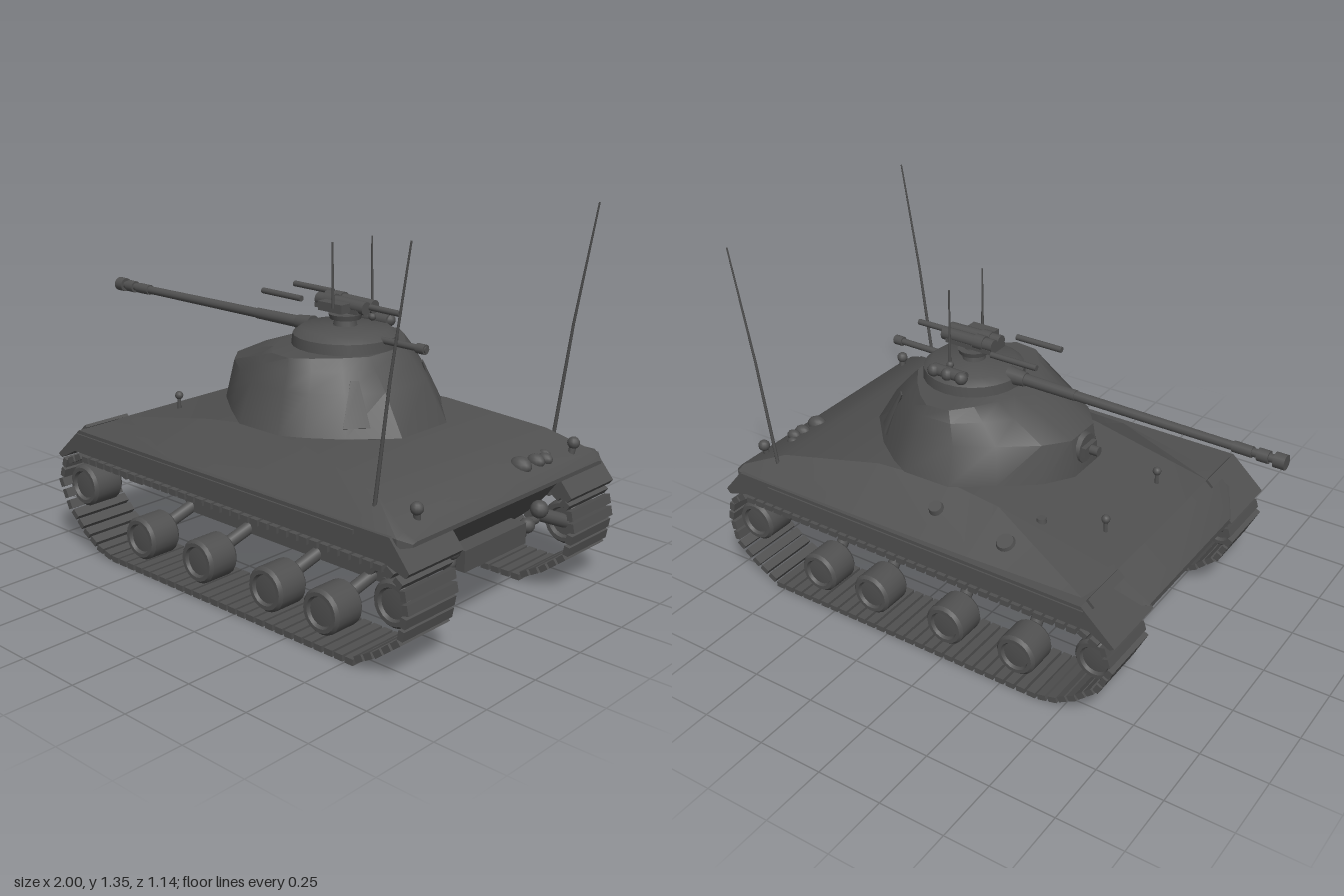
import * as THREE from 'three';
import { mergeGeometries, toCreasedNormals } from 'three/addons/utils/BufferGeometryUtils.js';

const steel = new THREE.MeshStandardMaterial({ color: 0x505050 });
steel.name = 'dark steel';

export function createModel() {
  const model = new THREE.Group();
  model.name = 'tank';

  function add(name, geometry, x = 0, y = 0, z = 0) {
    const mesh = new THREE.Mesh(geometry, steel);
    mesh.name = name;
    mesh.position.set(x, y, z);
    model.add(mesh);
    return mesh;
  }
  const box = (name, x, y, z, w, h, d) => add(name, new THREE.BoxGeometry(w, h, d), x, y, z);
  const ball = (name, x, y, z, r) => add(name, new THREE.SphereGeometry(r, 12, 8), x, y, z);

  // cylinder between two points
  function rod(name, a, b, r1, r2 = r1, sides = 12) {
    const p = new THREE.Vector3(...a), q = new THREE.Vector3(...b);
    const dir = q.clone().sub(p);
    const mesh = add(name, new THREE.CylinderGeometry(r2, r1, dir.length(), sides));
    mesh.position.copy(p).add(q).multiplyScalar(0.5);
    mesh.quaternion.setFromUnitVectors(new THREE.Vector3(0, 1, 0), dir.normalize());
    return mesh;
  }

  // closed solid through rings of equal point count; faces turned outward by signed volume
  function loft(rings, crease) {
    const tris = [], n = rings[0].length;
    for (let i = 0; i < rings.length - 1; i++) {
      for (let j = 0; j < n; j++) {
        const k = (j + 1) % n, a = rings[i], b = rings[i + 1];
        tris.push([a[j], a[k], b[k]], [a[j], b[k], b[j]]);
      }
    }
    const cap = (ring, flip) => {
      const c = [0, 1, 2].map(m => ring.reduce((s, p) => s + p[m], 0) / n);
      ring.forEach((p, j) => {
        const q = ring[(j + 1) % n];
        tris.push(flip ? [c, q, p] : [c, p, q]);
      });
    };
    cap(rings[0], true);
    cap(rings[rings.length - 1], false);
    const V = p => new THREE.Vector3(...p);
    const volume = tris.reduce((s, t) => s + V(t[0]).dot(V(t[1]).cross(V(t[2]))), 0);
    if (volume < 0) tris.forEach(t => t.reverse());
    const geometry = new THREE.BufferGeometry();
    geometry.setAttribute('position', new THREE.Float32BufferAttribute(tris.flat(2), 3));
    geometry.computeVertexNormals();
    return toCreasedNormals(geometry, crease);
  }

  // side profile in x and y, extruded from z0 to z1
  function slab(name, points, z0, z1) {
    const shape = new THREE.Shape(points.map(p => new THREE.Vector2(...p)));
    return add(name, new THREE.ExtrudeGeometry(shape, { depth: z1 - z0, bevelEnabled: false }), 0, 0, z0);
  }

  // lower hull
  slab('lowerHull', [[-0.64, 0.38], [-0.6, 0.355], [-0.42, 0.31], [-0.24, 0.17], [0.68, 0.17],
    [0.84, 0.3], [0.9, 0.37], [0.965, 0.455], [-0.58, 0.455]], -0.305, 0.305);

  // upper hull: x, crease half width, crease y, eave half width, eave y, bottom y
  const stations = [
    [-0.69, 0.3, 0.37, 0.31, 0.365, 0.35], [-0.57, 0.34, 0.478, 0.53, 0.47, 0.38],
    [-0.1, 0.345, 0.572, 0.54, 0.475, 0.38], [0.1, 0.35, 0.6, 0.545, 0.475, 0.38],
    [0.4, 0.38, 0.598, 0.55, 0.475, 0.38], [0.78, 0.46, 0.548, 0.555, 0.475, 0.39],
    [0.94, 0.52, 0.485, 0.555, 0.472, 0.44], [0.975, 0.5, 0.46, 0.52, 0.455, 0.445]];
  add('upperHull', loft(stations.map(([x, zc, yc, ze, ye, yb]) =>
    [[x, yb, -ze], [x, ye, -ze], [x, yc, -zc], [x, yc, zc], [x, ye, ze], [x, yb, ze]]), 0.45));

  // track path and one wheel shape
  const path = new THREE.CurvePath();
  const corners = [[-0.58, 0.368], [-0.66, 0.33], [-0.685, 0.25], [-0.64, 0.16], [-0.55, 0.08],
    [-0.47, 0.035], [-0.4, 0.018], [0.77, 0.018], [0.88, 0.08], [0.97, 0.15], [0.99, 0.26], [0.975, 0.33], [0.92, 0.368]]
    .map(p => new THREE.Vector3(p[0], p[1], 0));
  corners.forEach((p, i) => path.add(new THREE.LineCurve3(p, corners[(i + 1) % corners.length])));
  const links = [], linkCount = 84;
  for (let i = 0; i < linkCount; i++) {
    const p = path.getPointAt(i / linkCount), t = path.getTangentAt(i / linkCount);
    const link = new THREE.BoxGeometry(0.034, 0.022, 0.245);
    links.push(link.rotateZ(Math.atan2(t.y, t.x)).translate(p.x, p.y, 0));
  }
  const trackGeometry = mergeGeometries(links);
  const wheelProfile = [[0, -0.05], [0.05, -0.05], [0.056, -0.065], [0.07, -0.065], [0.08, -0.053],
    [0.08, 0.053], [0.07, 0.065], [0.056, 0.065], [0.05, 0.053], [0, 0.058]];
  const wheelGeometry = toCreasedNormals(
    new THREE.LatheGeometry(wheelProfile.map(p => new THREE.Vector2(...p)), 20).rotateX(Math.PI / 2), 0.6);
  const wheels = [[-0.605, 0.24], [-0.285, 0.115], [0.02, 0.115], [0.355, 0.115], [0.605, 0.115], [0.905, 0.24]];

  for (const s of [1, -1]) {
    // running gear
    add('track', trackGeometry, 0, 0, s * 0.447);
    for (const [x, y] of wheels) {
      const wheel = add('wheel', wheelGeometry, x, y, s * 0.465);
      if (s < 0) wheel.rotation.y = Math.PI;
      if (y < 0.2) {
        rod('suspensionArm', [x, y + 0.015, s * 0.42], [x + 0.03, 0.19, s * 0.29], 0.024);
      } else {
        rod('axle', [x * 0.93, y + 0.06, s * 0.28], [x, y, s * 0.42], 0.025);
      }
    }
    rod('frontDamper', [-0.44, 0.31, s * 0.28], [-0.44, 0.31, s * 0.46], 0.022);
    box('frontBracket', -0.38, 0.315, s * 0.38, 0.07, 0.05, 0.16);
    rod('rearDamper', [0.75, 0.3, s * 0.28], [0.75, 0.3, s * 0.46], 0.028);

    // fender with sloped ends and a lip along the side
    const inside = s * 0.3, outside = s * 0.565;
    slab('fender', [[-0.7, 0.355], [-0.57, 0.475], [0.92, 0.475], [1, 0.38], [0.985, 0.362],
      [0.9, 0.388], [-0.6, 0.388], [-0.68, 0.345]], Math.min(inside, outside), Math.max(inside, outside));
    box('fenderLip', 0.1, 0.455, s * 0.565, 1.36, 0.014, 0.012);
    const flap = box('fenderFlap', -0.585, 0.47, s * 0.43, 0.035, 0.012, 0.2);
    flap.rotation.z = 0.75;

    // long bent antennas
    rod('antennaBase', [0.785, 0.46, s * 0.487], [0.8, 0.55, s * 0.488], 0.008, 0.006, 8);
    rod('antennaLower', [0.79, 0.48, s * 0.487], [0.85, 0.93, s * 0.491], 0.007, 0.005, 6);
    rod('antennaUpper', [0.85, 0.93, s * 0.491], [0.923, 1.36, s * 0.495], 0.005, 0.003, 6);

    // hull lamps and rear fittings
    rod('lampPost', [-0.44, 0.48, s * 0.185], [-0.44, 0.55, s * 0.185], 0.007);
    ball('lamp', -0.44, 0.555, s * 0.185, 0.016);
    rod('rearLampPost', [0.91, 0.47, s * 0.42], [0.915, 0.53, s * 0.43], 0.012);
    ball('rearLamp', 0.915, 0.53, s * 0.43, 0.022);
    ball('tailLight', 0.91, 0.335, s * 0.245, 0.032);
    ball('towHook', 0.88, 0.275, s * 0.22, 0.028);
    rod('towBar', [0.86, 0.27, s * 0.15], [0.86, 0.27, s * 0.3], 0.018);
  }

  // rear plate equipment
  box('rearBox', 0.87, 0.27, 0, 0.08, 0.075, 0.34);
  rod('rearLowerBar', [0.69, 0.18, -0.31], [0.69, 0.18, 0.31], 0.014);
  for (const [x, z, r] of [[0.88, -0.165, 0.032], [0.89, -0.24, 0.026], [0.9, -0.28, 0.022], [0.87, -0.32, 0.018]]) {
    const fitting = ball('deckFitting', x, 0.505, z, r);
    fitting.scale.x = 1.3;
  }

  // deck hatches
  for (const [x, y, z, r] of [[-0.2, 0.52, -0.45, 0.038], [0.1, 0.548, -0.44, 0.03], [-0.25, 0.545, -0.3, 0.02]]) {
    const hatch = add('deckHatch', new THREE.CylinderGeometry(r * 0.8, r, 0.022, 16), x, y, z);
    hatch.rotation.x = z < -0.35 ? -0.45 : 0;
  }

  // turret: half outlines from front to rear, mirrored into rings
  const outlines = [
    [0.605, [-0.25, 0.08], [-0.18, 0.185], [-0.05, 0.285], [0.09, 0.38], [0.28, 0.383], [0.36, 0.34], [0.47, 0.26], [0.6, 0.12]],
    [0.745, [-0.23, 0.075], [-0.16, 0.16], [-0.03, 0.255], [0.1, 0.33], [0.26, 0.335], [0.335, 0.295], [0.43, 0.22], [0.515, 0.11]],
    [0.81, [-0.09, 0.07], [-0.04, 0.15], [0.04, 0.23], [0.13, 0.3], [0.25, 0.307], [0.32, 0.265], [0.395, 0.19], [0.46, 0.1]],
    [0.848, [0.02, 0.06], [0.04, 0.13], [0.09, 0.21], [0.15, 0.28], [0.24, 0.29], [0.3, 0.245], [0.37, 0.17], [0.425, 0.09]]];
  const turretRings = outlines.map(([y, ...half]) =>
    [...half.map(([x, z]) => [x, y, z]), ...half.slice().reverse().map(([x, z]) => [x, y, -z])]);
  add('turret', loft(turretRings, 0.65));
  add('turretRing', new THREE.CylinderGeometry(0.32, 0.32, 0.04, 24), 0.22, 0.595, 0);

  // raised tapered plates on the rear turret cheeks
  for (const s of [1, -1]) {
    const plate = add('turretArmourPlate', new THREE.CylinderGeometry(0.02, 0.065, 0.16, 4), 0.462, 0.71, s * 0.2);
    plate.geometry.rotateY(Math.PI / 4).scale(0.2, 1, 1);
    plate.rotation.set(0, s * -0.72, 0.4, 'YXZ');
  }

  // mantlet and short front gun
  rod('mantlet', [-0.25, 0.685, 0], [-0.15, 0.685, 0], 0.055, 0.08);
  rod('frontGun', [-0.3, 0.685, 0], [-0.22, 0.685, 0], 0.018);
  box('frontGunCollar', -0.255, 0.685, 0, 0.025, 0.04, 0.08);

  // cupola
  const cupola = [[0, 0.84], [0.19, 0.84], [0.185, 0.885], [0.155, 0.907], [0, 0.915]];
  add('cupola', toCreasedNormals(new THREE.LatheGeometry(
    cupola.map(p => new THREE.Vector2(...p)), 24), 0.6), 0.235, 0, 0);

  // main gun with stepped muzzle
  rod('gunBarrel', [0.1, 0.885, 0], [-0.96, 0.877, 0], 0.019, 0.015, 16);
  rod('gunSleeve', [0.08, 0.885, 0], [0.01, 0.885, 0], 0.034, 0.026, 16);
  rod('gunCollar', [0.01, 0.885, 0], [-0.2, 0.883, 0], 0.022, 0.02, 16);
  rod('muzzleBrake', [-0.96, 0.877, 0], [-1, 0.877, 0], 0.027, 0.027, 16);
  rod('muzzleRing', [-0.9, 0.877, 0], [-0.94, 0.877, 0], 0.023, 0.023, 16);
  rod('muzzleBase', [-0.81, 0.878, 0], [-0.88, 0.877, 0], 0.02, 0.02, 16);
  rod('rearRod', [0.4, 0.886, 0], [0.6, 0.886, 0], 0.012);
  rod('rearRodEnd', [0.56, 0.886, 0], [0.595, 0.886, 0], 0.018);

  // roof weapon mount
  add('mountLowerDisc', new THREE.CylinderGeometry(0.06, 0.055, 0.018, 20), 0.235, 0.945, 0);
  add('mountPost', new THREE.CylinderGeometry(0.03, 0.045, 0.07, 12), 0.235, 0.94, 0);
  box('weaponCradle', 0.23, 0.975, 0, 0.2, 0.016, 0.09);
  for (const z of [-0.022, 0.022]) {
    rod('weaponBody', [0.13, 0.994, z], [0.35, 0.99, z], 0.024);
    rod('weaponCap', [0.17, 0.994, z], [0.21, 0.994, z], 0.028);
  }
  box('ammoBox', 0.24, 0.988, 0.065, 0.11, 0.032, 0.045);
  rod('weaponRearRod', [0.34, 0.992, 0], [0.48, 0.99, 0], 0.011);
  for (const z of [-0.085, 0.08]) rod('weaponBarrel', [0.1, 0.997, z], [-0.09, 0.998, z], 0.011);

  // cupola periscopes and short antennas
  rod('periscope', [0.17, 0.912, -0.15], [0.31, 0.912, -0.15], 0.022);
  for (const x of [0.18, 0.24, 0.3]) ball('periscopeHead', x, 0.912, -0.16, 0.024);
  rod('shortAntenna', [0.26, 0.99, 0.092], [0.262, 1.22, 0.099], 0.005, 0.003, 6);
  rod('shortAntenna', [0.26, 0.9, -0.116], [0.26, 1.215, -0.108], 0.005, 0.003, 6);
  ball('antennaFoot', 0.26, 0.925, -0.115, 0.014);

  return model;
}
